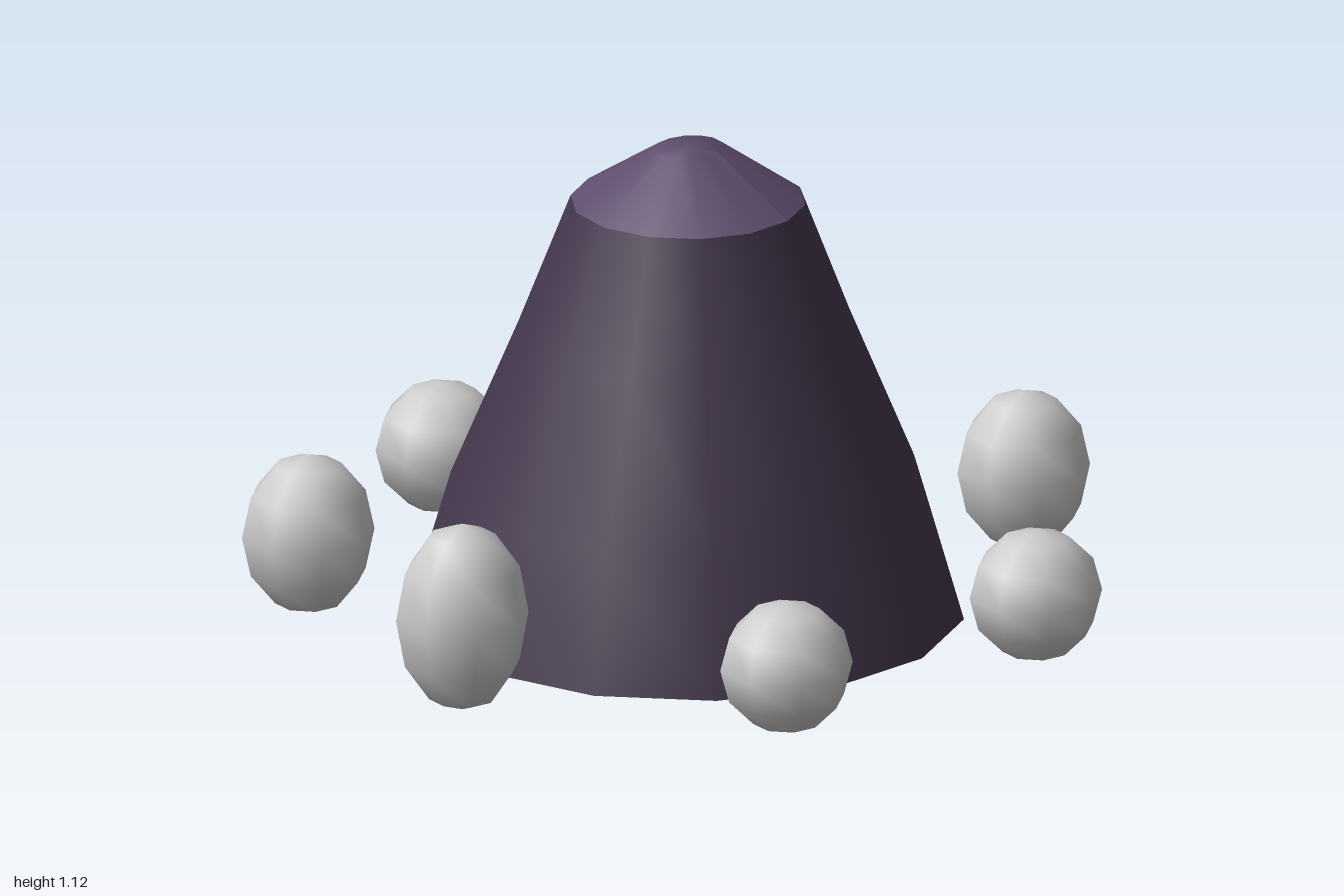
import * as THREE from 'three';

const SIDES = 14;

// Lathe with a corner pointing along +x
function lathe(name, profile, color) {
  const points = profile.map(([r, y]) => new THREE.Vector2(r, y));
  const geometry = new THREE.LatheGeometry(points, SIDES, Math.PI / 2);
  const material = new THREE.MeshStandardMaterial({ color, side: THREE.DoubleSide });
  const mesh = new THREE.Mesh(geometry, material);
  mesh.name = name;
  return mesh;
}

export function createModel() {
  const model = new THREE.Group();
  model.name = 'moundWithEggs';

  // Hollow tapering mound, open underneath
  const mound = new THREE.Group();
  mound.name = 'mound';
  mound.position.set(-0.015, 0, -0.032);
  mound.add(lathe('moundWall', [[0.635, 0.01], [0.545, 0.32], [0.39, 0.69], [0.27, 1.0]], 0x44374d));

  // Paler cap, its small crown leaning slightly
  const cap = lathe('moundCap', [[0.27, 1.0], [0.08, 1.127], [0, 1.13]], 0x5e4d6d);
  const pos = cap.geometry.attributes.position;
  for (let i = 0; i < pos.count; i++) {
    if (pos.getY(i) > 1.1) pos.setY(i, pos.getY(i) + 0.05 * pos.getX(i) - 0.04 * pos.getZ(i));
  }
  cap.geometry.computeVertexNormals();
  mound.add(cap);
  model.add(mound);

  // Ring of eggs of three heights: x, z, half height
  const eggs = [
    [-0.075, 0.83, 0.225], [0.625, 0.55, 0.155], [0.84, -0.17, 0.155], [0.41, -0.79, 0.19],
    [-0.34, -0.84, 0.225], [-0.845, -0.285, 0.155], [-0.73, 0.46, 0.19],
  ];
  const eggGeometry = new THREE.SphereGeometry(0.155, 8, 6);
  const eggMaterial = new THREE.MeshStandardMaterial({ color: 0xcccccc });
  eggs.forEach(([x, z, half], i) => {
    const egg = new THREE.Mesh(eggGeometry, eggMaterial);
    egg.name = `egg${i + 1}`;
    egg.position.set(x, 0.012 + half, z);
    egg.scale.y = half / 0.155;
    model.add(egg);
  });

  return model;
}
